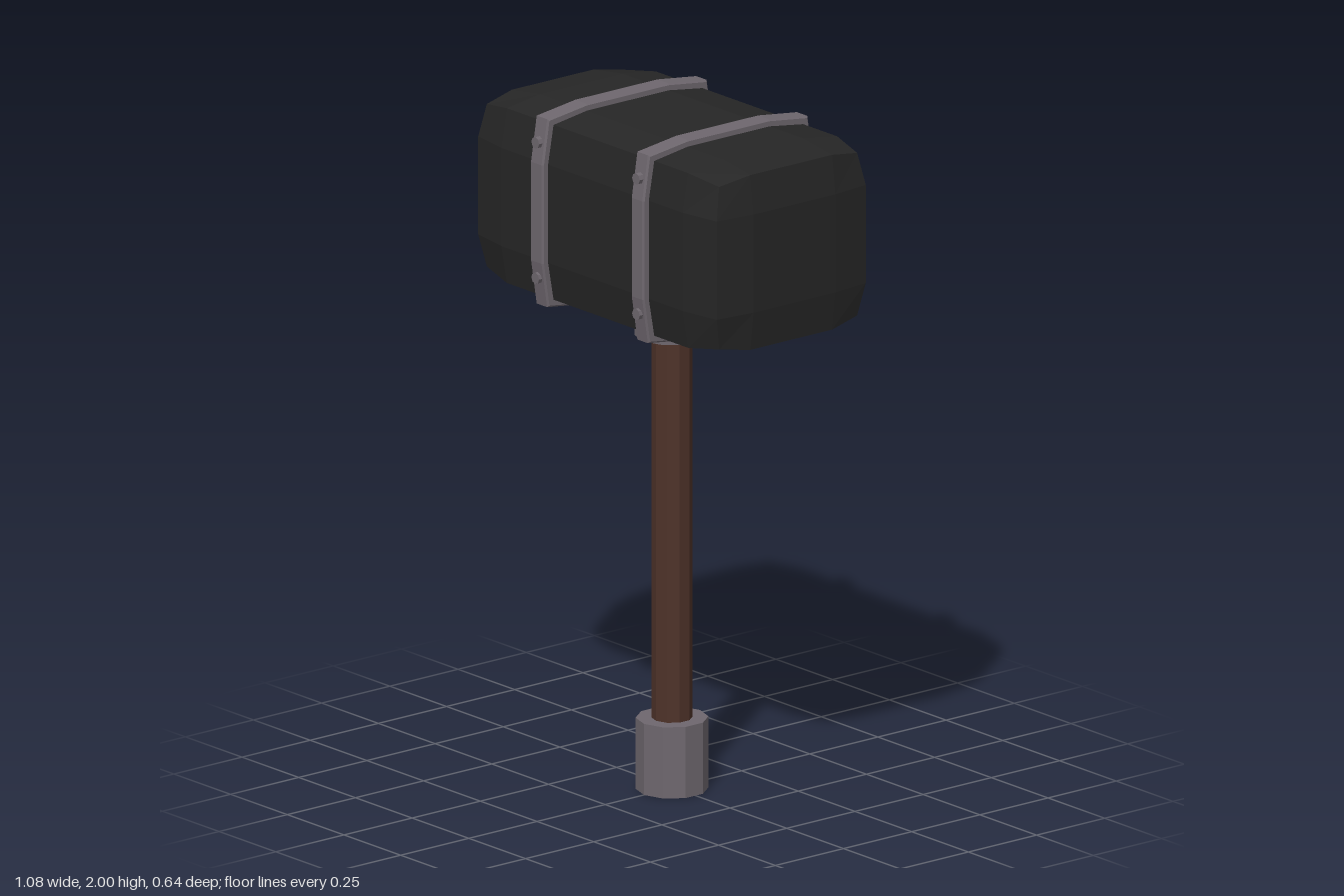
import * as THREE from 'three';

const mat = (color) => new THREE.MeshStandardMaterial({ color, flatShading: true });

export function createModel() {
  const group = new THREE.Group();
  const iron = mat(0x6e676e), stone = mat(0x262626), wood = mat(0x4e3229);
  const Z = 0.005, HEAD_Y = 1.708;

  const add = (name, geometry, material, x, y, z) => {
    const mesh = new THREE.Mesh(geometry, material);
    mesh.name = name;
    mesh.position.set(x, y, z);
    group.add(mesh);
    return mesh;
  };

  // Ten-sided upright parts: pommel, handle, collar
  const post = (name, r, y0, y1, material) =>
    add(name, new THREE.CylinderGeometry(r, r, y1 - y0, 10), material, 0, (y0 + y1) / 2, Z);
  post('pommel', 0.103, 0, 0.21, iron);
  post('handle', 0.058, 0.15, 1.45, wood);
  post('collar', 0.106, 1.34, 1.46, iron);

  // Head: a 3x3x3 box whose edges and corners are pulled in
  const outer = [0.54, 0.276, 0.293];
  const inner = [0.4, 0.145, 0.15];
  const pull = [0.014, 0.018, 0.02];
  const headGeo = new THREE.BoxGeometry(2, 2, 2, 3, 3, 3);
  const pos = headGeo.attributes.position;
  for (let i = 0; i < pos.count; i++) {
    const p = [pos.getX(i), pos.getY(i), pos.getZ(i)];
    const out = p.map((v) => Math.abs(v) > 0.9);
    const n = out.filter(Boolean).length;
    const q = p.map((v, a) => Math.sign(v) * (out[a] ? outer[a] - pull[a] * (n - 1) : inner[a]));
    pos.setXYZ(i, ...q);
  }
  headGeo.computeVertexNormals();
  add('head', headGeo, stone, 0, HEAD_Y, Z);

  // Iron bands wrapping the head, following its bulged section
  const section = (d) => {
    const w = outer[2] + d, h = outer[1] + d;
    const cw = w - pull[2], ch = h - pull[1];
    return [
      [w, -0.145], [w, 0.145], [cw, ch], [0.15, h], [-0.15, h], [-cw, ch],
      [-w, 0.145], [-w, -0.145], [-cw, -ch], [-0.15, -h], [0.15, -h], [cw, -ch],
    ].map(([x, y]) => new THREE.Vector2(x, y));
  };
  const bevel = 0.005, width = 0.056;
  const shape = new THREE.Shape(section(0.016 - bevel + 0.004));
  shape.holes.push(new THREE.Path(section(-0.015).reverse()));
  const bandGeo = new THREE.ExtrudeGeometry(shape, {
    depth: width - 2 * bevel, bevelEnabled: true, bevelSize: bevel,
    bevelThickness: bevel, bevelSegments: 1,
  });
  bandGeo.translate(0, 0, -(width - 2 * bevel) / 2);
  bandGeo.rotateY(Math.PI / 2);

  // Bolts on the front and back of each band
  const boltGeo = new THREE.CylinderGeometry(0.017, 0.017, 0.04, 8);
  boltGeo.rotateX(Math.PI / 2);
  for (const x of [-0.222, 0.222]) {
    add('band', bandGeo, iron, x, HEAD_Y, Z);
    for (const y of [1.515, 1.915])
      for (const side of [-1, 1]) add('bolt', boltGeo, iron, x, y, side * 0.302);
  }
  return group;
}
